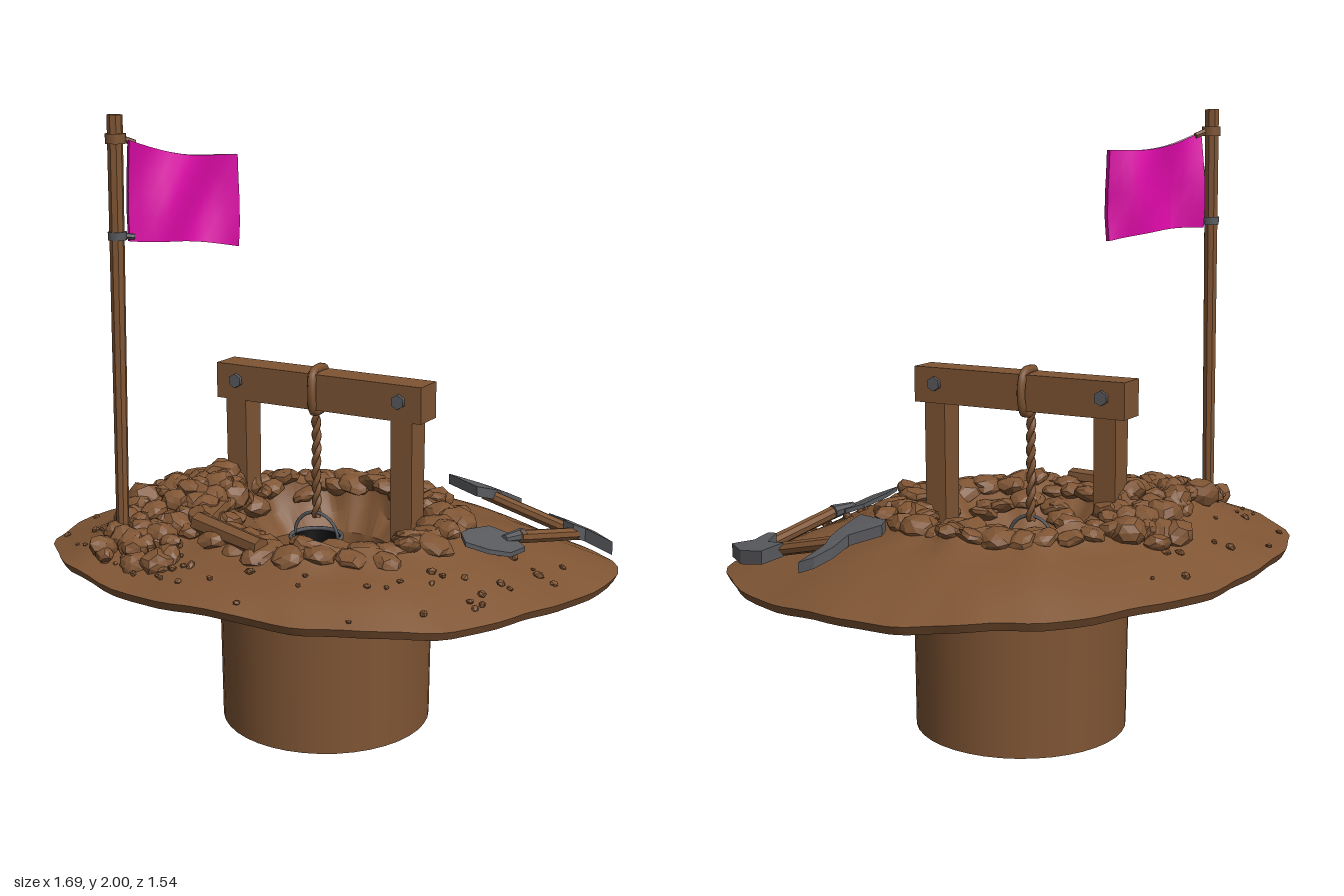
import * as THREE from 'three';
import { toCreasedNormals } from 'three/addons/utils/BufferGeometryUtils.js';

const CX = -0.04, TAU = Math.PI * 2;
const mat = (name, color) => Object.assign(new THREE.MeshStandardMaterial({ color }), { name });

// Outline of the ground plate as x, z pairs
const OUTLINE = [[0.12, -0.765], [0.39, -0.72], [0.6, -0.635], [0.79, -0.495], [0.845, -0.36], [0.82, -0.15], [0.78, 0.07],
  [0.7, 0.29], [0.58, 0.5], [0.36, 0.65], [0.07, 0.72], [-0.33, 0.755], [-0.59, 0.675], [-0.785, 0.485], [-0.845, 0.23],
  [-0.8, -0.07], [-0.74, -0.27], [-0.57, -0.47], [-0.33, -0.65], [-0.11, -0.735]]
  .map(([x, z]) => ({ a: Math.atan2(z, x - CX), r: Math.hypot(x - CX, z) })).sort((p, q) => p.a - q.a);

function edgeRadius(a) {
  a = Math.atan2(Math.sin(a), Math.cos(a));
  const n = OUTLINE.length;
  let i = OUTLINE.findIndex(p => p.a > a);
  if (i < 0) i = 0;
  const p = OUTLINE[(i + n - 1) % n], q = OUTLINE[i];
  const span = (q.a - p.a + TAU) % TAU, t = ((a - p.a + TAU) % TAU) / span;
  return p.r + (q.r - p.r) * t + 0.004 * Math.sin(a * 23);
}
const crestRadius = a => 0.35 + 0.11 * Math.max(0, Math.cos(a - 0.85)) + 0.012 * Math.sin(a * 11);

// Upper surface along one angle: pit lip, ridge, slope, edge
function upperProfile(a) {
  const e = edgeRadius(a), c = crestRadius(a), bump = 0.012 * Math.sin(a * 7) + 0.01 * Math.sin(a * 17 + 1);
  const ey = 0.57 - 0.04 * e * Math.cos(a) + 0.05 * e * Math.sin(a) + 0.006 * Math.sin(a * 9);
  const rows = [[0.225, 0.56], [0.2 + c * 0.25, 0.63 + bump], [c - 0.04, 0.71 + bump], [c + 0.01, 0.735 + bump], [c + 0.08, 0.69]];
  for (const t of [0.25, 0.5, 0.75, 1]) rows.push([c + 0.08 + (e - c - 0.08) * t, 0.69 + (ey - 0.69) * t + 0.012 * Math.sin(t * Math.PI)]);
  return rows.map(([r, y]) => {
    const x = CX + r * Math.cos(a), z = r * Math.sin(a);
    return [r, y + 0.1 * Math.exp(-(((x + 0.46) / 0.13) ** 2) - ((z - 0.26) / 0.27) ** 2)];
  });
}
function groundY(x, z) {
  const rows = upperProfile(Math.atan2(z, x - CX)), r = Math.hypot(x - CX, z);
  for (let i = 1; i < rows.length; i++) {
    if (r <= rows[i][0]) {
      const t = Math.max(0, (r - rows[i - 1][0]) / (rows[i][0] - rows[i - 1][0]));
      return rows[i - 1][1] + (rows[i][1] - rows[i - 1][1]) * t;
    }
  }
  return rows.at(-1)[1];
}

function groundGeometry() {
  const N = 90, pos = [], index = [];
  let rows = 0;
  for (let j = 0; j < N; j++) {
    const a = j / N * TAU, up = upperProfile(a), [er, ey] = up.at(-1);
    const line = [[0.22, 0.25], [0.22, 0.48], ...up, [er - 0.015, ey - 0.028],
      [0.55, 0.583 + 0.03 * Math.sin(a)], [0.43, 0.583 + 0.02 * Math.sin(a)], [0.38, 0.568 + 0.01 * Math.sin(a)], [0.35, 0.5]];
    rows = line.length;
    for (const [r, y] of line) pos.push(CX + r * Math.cos(a), y, r * Math.sin(a));
  }
  for (let j = 0; j < N; j++) for (let i = 0; i < rows - 1; i++) {
    const p = j * rows + i, q = ((j + 1) % N) * rows + i;
    index.push(p, q, p + 1, p + 1, q, q + 1);
  }
  const g = new THREE.BufferGeometry();
  g.setAttribute('position', new THREE.Float32BufferAttribute(pos, 3));
  g.setIndex(index);
  return toCreasedNormals(g, 0.6);
}

export function createModel() {
  const model = new THREE.Group();
  const brown = mat('earth and wood brown', 0x7f5534), black = mat('pit black', 0x0c0c0c);
  const grey = mat('iron grey', 0x5a5b5f), pink = mat('flag magenta', 0xe20aac), pale = mat('flag hem pale pink', 0xe6b4d6);
  black.side = grey.side = THREE.DoubleSide;
  let seed = 7;
  const rnd = (lo, hi) => { seed = (seed * 16807) % 2147483647; return lo + (hi - lo) * seed / 2147483647; };
  const add = (name, geo, m, x = 0, y = 0, z = 0, parent = model) => {
    const mesh = new THREE.Mesh(geo, m);
    mesh.name = name;
    mesh.position.set(x, y, z);
    parent.add(mesh);
    return mesh;
  };
  const rod = (name, from, to, r0, r1, m, sides = 8) => {
    const a = new THREE.Vector3(...from), b = new THREE.Vector3(...to);
    const geo = toCreasedNormals(new THREE.CylinderGeometry(r1, r0, a.distanceTo(b), sides), 0.6);
    const mesh = add(name, geo, m, ...a.clone().add(b).multiplyScalar(0.5).toArray());
    mesh.quaternion.setFromUnitVectors(new THREE.Vector3(0, 1, 0), b.sub(a).normalize());
    return mesh;
  };

  // Ground, shaft and pit floor
  add('ground', groundGeometry(), brown);
  add('shaft', new THREE.CylinderGeometry(0.354, 0.348, 0.57, 40, 1, true), brown, CX, 0.285, 0);
  add('shaftBottom', new THREE.CircleGeometry(0.348, 40).rotateX(Math.PI / 2), brown, CX, 0, 0);
  add('pitFloor', new THREE.CircleGeometry(0.222, 40).rotateX(-Math.PI / 2), black, CX, 0.26, 0);

  // Rocks: heap, ridge stones and scattered pebbles
  const rocks = new THREE.Group();
  rocks.name = 'rocks';
  model.add(rocks);
  const rock = (name, x, z, s, lift, flat = 1) => {
    const g = new THREE.IcosahedronGeometry(1, s > 0.03 ? 1 : 0), p = g.attributes.position, k = rnd(0, 9);
    for (let i = 0; i < p.count; i++) {
      const f = 1 + 0.13 * Math.sin(p.getX(i) * 5 + k) * Math.cos(p.getZ(i) * 4 + p.getY(i) * 3 + k);
      p.setXYZ(i, p.getX(i) * f, p.getY(i) * f, p.getZ(i) * f);
    }
    g.computeVertexNormals();
    const m = add(name, g, brown, x, groundY(x, z) + lift, z, rocks);
    m.scale.set(s * rnd(0.9, 1.25), s * rnd(0.65, 0.9) * flat, s * rnd(0.8, 1.1));
    m.rotation.set(rnd(-0.4, 0.4), rnd(0, TAU), rnd(-0.4, 0.4));
  };
  for (let i = 0; i < 95; i++) {
    const t = i / 94, z = -0.1 + 0.72 * t + rnd(-0.03, 0.03);
    rock('heapRock', -0.46 + 0.1 * t + rnd(-0.14, 0.11 + 0.02 * t), z, rnd(0.025, 0.06), rnd(0, 0.022));
  }
  for (let i = 0; i < 64; i++) {
    const a = i / 64 * TAU, r = crestRadius(a) + (i % 2 ? 0.035 : -0.03) + rnd(-0.015, 0.015);
    rock('ridgeRock', CX + r * Math.cos(a), r * Math.sin(a), rnd(0.045, 0.065), -0.012, 0.7);
  }
  for (let i = 0; i < 14; i++) {
    const a = rnd(-0.2, 1.9), r = rnd(0.29, 0.36);
    rock('funnelStone', CX + r * Math.cos(a), r * Math.sin(a), rnd(0.035, 0.06), -0.01, 0.6);
  }
  for (let i = 0; i < 60; i++) {
    const a = rnd(-0.4, 3.6), r = edgeRadius(a) * rnd(0.7, 0.97);
    rock('pebble', CX + r * Math.cos(a), r * Math.sin(a), rnd(0.007, 0.018), 0.003);
  }
  rod('frontLog', [-0.27, 0.74, 0.4], [0.02, 0.73, 0.49], 0.035, 0.03, brown, 7);
  rod('sideLog', [-0.31, 0.74, 0.2], [-0.24, 0.74, 0.42], 0.03, 0.026, brown, 7);

  // Hoist frame
  for (const x of [-0.36, 0.258]) {
    const post = new THREE.BoxGeometry(0.076, 0.56, 0.08), p = post.attributes.position;
    for (let i = 0; i < p.count; i++) if (p.getY(i) > 0) p.setZ(i, p.getZ(i) * 1.15);
    add('post', post, brown, x, 0.79, -0.003);
  }
  add('beam', new THREE.BoxGeometry(0.76, 0.118, 0.105), brown, -0.052, 1.112, -0.007);
  for (const x of [-0.355, 0.25]) for (const s of [-1, 1]) {
    add('bolt', new THREE.CylinderGeometry(0.024, 0.024, 0.02, 6).rotateX(Math.PI / 2), grey, x, 1.118, -0.007 + s * 0.056);
  }

  // Rope: loop around the beam and two twisted strands
  const loop = [[-0.075, 1.172, -0.05], [-0.07, 1.18, 0], [-0.065, 1.172, 0.04], [-0.06, 1.11, 0.055], [-0.065, 1.05, 0.04],
    [-0.07, 1.04, 0], [-0.075, 1.05, -0.05], [-0.075, 1.11, -0.068]].map(p => new THREE.Vector3(...p));
  add('ropeLoop', new THREE.TubeGeometry(new THREE.CatmullRomCurve3(loop, true), 40, 0.015, 6, true), brown);
  for (const ph of [0, Math.PI]) {
    const pts = Array.from({ length: 33 }, (_, i) => new THREE.Vector3(
      -0.07 + 0.007 * Math.cos(i * 0.8 + ph), 1.04 - 0.36 * i / 32, 0.01 + 0.007 * Math.sin(i * 0.8 + ph)));
    add('ropeStrand', new THREE.TubeGeometry(new THREE.CatmullRomCurve3(pts), 64, 0.01, 5), brown);
  }

  // Bucket with iron bands and a lining on its front wall
  add('bucket', new THREE.CylinderGeometry(0.088, 0.072, 0.13, 18, 1, true), black, -0.07, 0.55, 0.012);
  add('bucketBottom', new THREE.CircleGeometry(0.072, 18).rotateX(Math.PI / 2), black, -0.07, 0.486, 0.012);
  add('bucketLining', new THREE.CylinderGeometry(0.084, 0.072, 0.11, 12, 1, true, -Math.PI / 2, Math.PI), grey, -0.07, 0.558, 0.012);
  for (const [y, r] of [[0.615, 0.086], [0.52, 0.077]]) {
    add('bucketBand', new THREE.TorusGeometry(r, 0.007, 6, 20).rotateX(Math.PI / 2), grey, -0.07, y, 0.012);
  }
  add('bucketHandle', new THREE.TorusGeometry(0.082, 0.006, 6, 14, Math.PI), grey, -0.07, 0.615, 0.012);

  // Flag pole with bindings
  rod('flagPole', [-0.485, 0.62, 0.512], [-0.476, 2, 0.493], 0.02, 0.024, brown);
  add('topBinding', new THREE.CylinderGeometry(0.032, 0.032, 0.03, 8), brown, -0.475, 1.93, 0.493);
  add('lowerBinding', new THREE.CylinderGeometry(0.029, 0.029, 0.025, 8), grey, -0.478, 1.64, 0.496);
  rod('topTie', [-0.475, 1.935, 0.49], [-0.44, 1.915, 0.445], 0.012, 0.01, brown, 6);
  rod('lowerTie', [-0.478, 1.64, 0.495], [-0.445, 1.635, 0.455], 0.01, 0.009, grey, 6);

  // Rippled flag cloth with a pale top hem
  const cloth = new THREE.BoxGeometry(1, 1, 1, 10, 4, 1), cp = cloth.attributes.position;
  for (let i = 0; i < cp.count; i++) {
    const u = cp.getX(i) + 0.5, v = cp.getY(i) + 0.5;
    const off = cp.getZ(i) * 0.02 + 0.02 * Math.sin(u * TAU + v * 0.9 - 0.4) + 0.012 * Math.sin(u * 9 - v * 4);
    const top = 1.925 - 0.055 * Math.sin(Math.min(1, u * 1.4) * Math.PI / 2), low = 1.62 - 0.035 * u * u;
    cp.setXYZ(i, -0.458 + 0.2 * u + 0.81 * off, low + (top - low) * v, 0.462 - 0.292 * u + 0.59 * off);
  }
  add('flag', toCreasedNormals(cloth, 0.5), [pink, pink, pale, pink, pink, pink]);

  // Iron tool heads that lie along the slope, from x, z outlines
  const plate = (name, pts, thick, lift) => {
    const shape = new THREE.Shape(pts.map(([x, z]) => new THREE.Vector2(x, -z)));
    const g = new THREE.ExtrudeGeometry(shape, { depth: thick, bevelEnabled: false }).rotateX(-Math.PI / 2);
    const p = g.attributes.position;
    for (let i = 0; i < p.count; i++) p.setY(i, p.getY(i) + groundY(p.getX(i), p.getZ(i)) + lift);
    g.computeVertexNormals();
    add(name, g, grey);
  };
  const above = (x, z, d) => [x, groundY(x, z) + d, z];
  plate('shovelBlade', [[0.49, -0.13], [0.55, -0.15], [0.62, -0.12], [0.615, -0.02], [0.575, 0.05], [0.51, 0.09], [0.475, 0.05],
    [0.47, -0.02]], 0.015, 0.02);
  rod('shovelSocket', above(0.56, -0.09, 0.035), above(0.585, -0.175, 0.04), 0.014, 0.024, grey);
  rod('longHandle', above(0.583, -0.15, 0.04), above(0.665, -0.49, 0.05), 0.022, 0.022, brown);
  plate('pickPoint', [[0.54, -0.51], [0.6, -0.545], [0.7, -0.525], [0.79, -0.455], [0.69, -0.465], [0.66, -0.43], [0.62, -0.44],
    [0.615, -0.49]], 0.045, 0.03);
  rod('shortHandle', above(0.3, -0.51, 0.055), above(0.65, -0.49, 0.045), 0.022, 0.022, brown);
  plate('pickBlade', [[0.378, -0.65], [0.33, -0.635], [0.29, -0.59], [0.275, -0.53], [0.185, -0.48], [0.19, -0.45], [0.325, -0.39],
    [0.345, -0.48], [0.345, -0.53], [0.335, -0.57]], 0.035, 0.05);
  return model;
}
